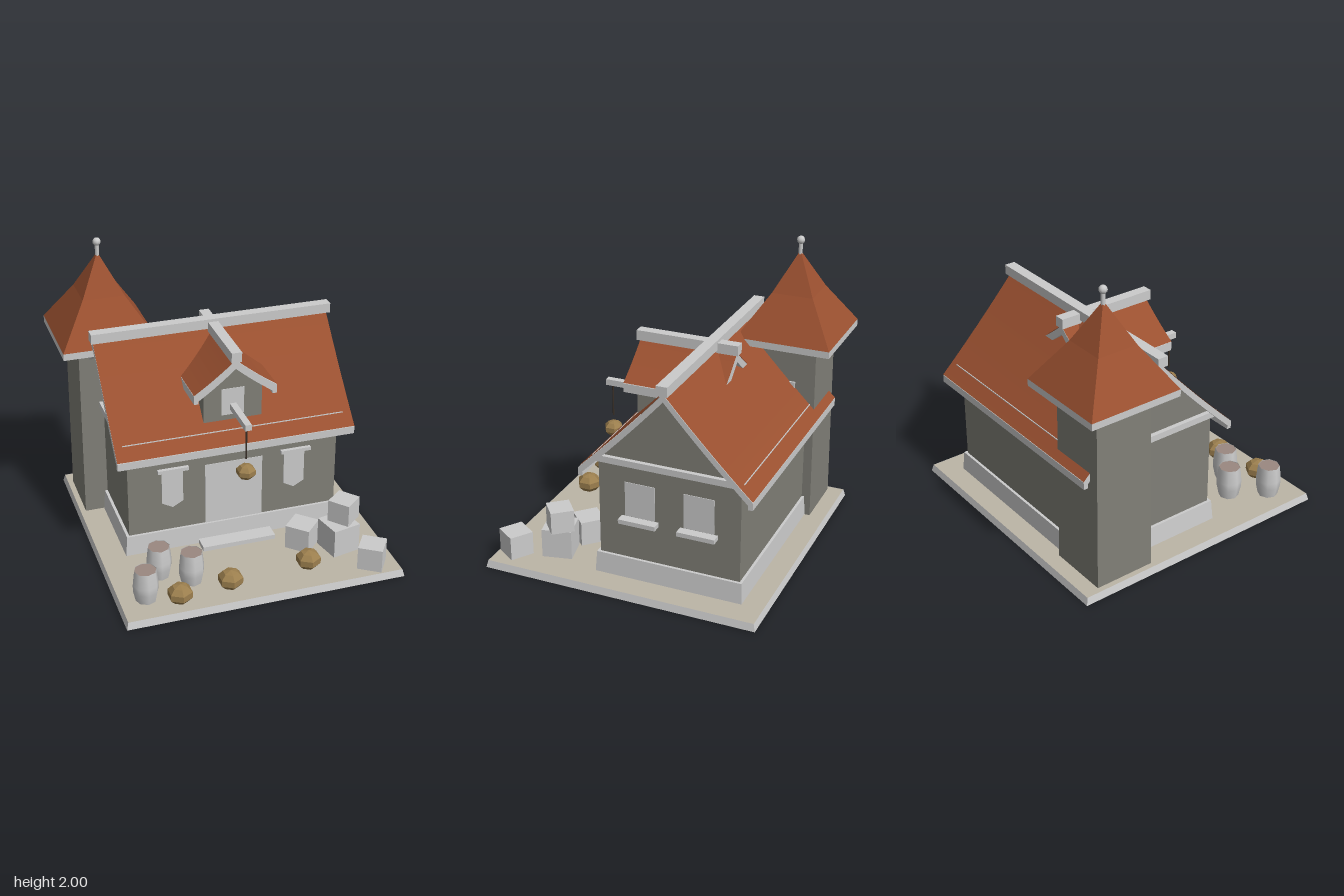
import * as THREE from 'three';

const mat = (color, opts = {}) => new THREE.MeshStandardMaterial({ color, ...opts });
const GREY = mat(0xcccccc);
const GREY_OPEN = mat(0xcccccc, { side: THREE.DoubleSide });
const WALL = mat(0x807f77);
const ROOF = mat(0x9a5030, { side: THREE.DoubleSide });
const SAND = mat(0xbcb5a6, { side: THREE.DoubleSide });
const SACK = mat(0x9c7f4e, { flatShading: true });
const LID = mat(0x9a8880);
const ROPE = mat(0x3a3028);

function add(parent, name, geometry, material, x = 0, y = 0, z = 0) {
  const mesh = new THREE.Mesh(geometry, material);
  mesh.name = name;
  mesh.position.set(x, y, z);
  parent.add(mesh);
  return mesh;
}

// Box given by its limits on each axis
function box(parent, name, material, [x0, x1], [y0, y1], [z0, z1]) {
  return add(parent, name, new THREE.BoxGeometry(x1 - x0, y1 - y0, z1 - z0), material,
    (x0 + x1) / 2, (y0 + y1) / 2, (z0 + z1) / 2);
}

// Flat-sided square frustum standing on y = 0
function frustum(bottomHalf, topHalf, height, open = false) {
  const g = new THREE.CylinderGeometry(topHalf * Math.SQRT2, bottomHalf * Math.SQRT2, height, 4, 1, open)
    .rotateY(Math.PI / 4).translate(0, height / 2, 0).toNonIndexed();
  g.computeVertexNormals();
  return g;
}

function extrude(points, depth) {
  const shape = new THREE.Shape(points.map(([x, y]) => new THREE.Vector2(x, y)));
  return new THREE.ExtrudeGeometry(shape, { depth, bevelEnabled: false }).translate(0, 0, -depth / 2);
}

// Flared gable roof running along z: thin tiled slopes, rake boards at the ends, fascias at the eaves
function gableRoof(name, halfWidth, ridgeY, eaveY, length, flare, fascia) {
  const group = new THREE.Group();
  group.name = name;
  const height = t => ridgeY - (ridgeY - eaveY) * (t + flare * t * (1 - t));
  const steps = [0, 1, 2, 3, 4, 5, 6, 7, 8].map(i => i / 8);
  const right = steps.map(t => [t * halfWidth, height(t)]);
  const left = right.slice(1).reverse().map(([x, y]) => [-x, y]);
  const top = [...left, ...right];
  const under = top.map(([x, y]) => [x, y - fascia]).reverse();
  for (const side of [-1, 1]) {
    add(group, name + 'Rake', extrude([...under, ...top], 0.03), GREY, 0, 0, side * (length / 2 - 0.015));
    add(group, name + 'Fascia', new THREE.BoxGeometry(0.03, fascia, length), GREY,
      side * (halfWidth - 0.015), eaveY - fascia / 2, 0);
    const g = new THREE.PlaneGeometry(1, length, 8, 1).rotateX(-Math.PI / 2).translate(0.5, 0, 0);
    const p = g.attributes.position;
    for (let i = 0; i < p.count; i++) p.setXYZ(i, p.getX(i) * halfWidth, height(p.getX(i)) + 0.004, p.getZ(i));
    g.computeVertexNormals();
    const sheet = add(group, name + 'Tiles', g, ROOF);
    if (side < 0) sheet.rotation.y = Math.PI;
  }
  return group;
}

function buildHouse() {
  const house = new THREE.Group();
  house.name = 'house';
  house.position.set(0.03, 0, -0.28);

  // Walls with gables, plinth, and the beam course under the roof
  const walls = [[-0.48, 0.05], [0.48, 0.05], [0.48, 0.88], [0, 1.38], [-0.48, 0.88]];
  add(house, 'walls', extrude(walls, 1.46).rotateY(Math.PI / 2), WALL);
  const plinth = add(house, 'plinth', frustum(0.506, 0.498, 0.14), GREY, 0, 0.05, 0);
  plinth.scale.x = 1.505;
  box(house, 'beamCourse', GREY, [-0.76, 0.76], [0.852, 0.895], [-0.508, 0.508]);

  // Main roof with ridge cap
  const roof = gableRoof('mainRoof', 0.583, 1.418, 0.813, 1.63, 0.08, 0.052);
  roof.rotation.y = Math.PI / 2;
  house.add(roof);
  box(house, 'ridgeCap', GREY, [-0.83, 0.835], [1.41, 1.477], [-0.037, 0.037]);

  // Door and step
  box(house, 'door', GREY, [-0.2, 0.2], [0.05, 0.64], [0.47, 0.484]);
  box(house, 'step', GREY, [-0.255, 0.255], [0.05, 0.082], [0.47, 0.615]);

  // Hanging banners on the front
  for (const s of [-1, 1]) {
    const cloth = [[-0.073, 0.4], [0, 0.36], [0.073, 0.4], [0.073, 0.66], [-0.073, 0.66]];
    add(house, 'banner', extrude(cloth, 0.006), GREY, s * 0.427, 0, 0.483);
    box(house, 'bannerRod', GREY, [s * 0.427 - 0.105, s * 0.427 + 0.105], [0.648, 0.672], [0.497, 0.523]);
  }

  // Windows and sills on the right-hand gable
  for (const z of [-0.203, 0.197]) {
    box(house, 'window', GREY, [0.72, 0.734], [0.49, 0.73], [z - 0.103, z + 0.103]);
    box(house, 'windowSill', GREY, [0.72, 0.793], [0.457, 0.487], [z - 0.127, z + 0.127]);
  }
  return house;
}

function buildDormer() {
  const dormer = new THREE.Group();
  dormer.name = 'dormer';
  dormer.position.x = 0.03;
  const front = [[-0.2, 0.94], [0.2, 0.94], [0.2, 1.2], [0, 1.36], [-0.2, 1.2]];
  add(dormer, 'dormerWalls', extrude(front, 0.455), WALL, 0, 0, -0.053);
  const roof = gableRoof('dormerRoof', 0.282, 1.395, 1.18, 0.675, 0.15, 0.06);
  roof.position.z = -0.1025;
  dormer.add(roof);
  box(dormer, 'dormerRidge', GREY, [-0.035, 0.035], [1.388, 1.457], [-0.455, 0.253]);
  box(dormer, 'dormerWindow', GREY, [-0.077, 0.077], [0.98, 1.17], [0.16, 0.178]);

  // Hoist with a hanging sack
  box(dormer, 'hoistBeam', GREY, [-0.022, 0.022], [1.018, 1.06], [0.15, 0.49]);
  add(dormer, 'rope', new THREE.CylinderGeometry(0.006, 0.006, 0.23, 6), ROPE, 0, 0.907, 0.45);
  dormer.add(buildSack(0, 0.697, 0.45, 0.068));
  return dormer;
}

function buildTower() {
  const tower = new THREE.Group();
  tower.name = 'tower';
  tower.position.set(-0.653, 0, -0.613);
  add(tower, 'towerWalls', frustum(0.21, 0.2, 1.3), WALL, 0, 0.05, 0);

  // Eaves frame and flared pyramid roof
  for (let i = 0; i < 4; i++) {
    const eave = new THREE.BoxGeometry(0.65, 0.047, 0.03).translate(0, 0, 0.31).rotateY(i * Math.PI / 2);
    add(tower, 'towerEave', eave, GREY, 0, 1.3215, 0);
  }
  add(tower, 'towerRoofLower', frustum(0.325, 0.142, 0.28, true), ROOF, 0, 1.345, 0);
  add(tower, 'towerRoofUpper', frustum(0.142, 0.004, 0.265, true), ROOF, 0, 1.625, 0);

  box(tower, 'towerWindow', GREY, [0.18, 0.215], [0.8, 1.04], [-0.065, 0.065]);
  add(tower, 'finialRod', new THREE.CylinderGeometry(0.014, 0.014, 0.1, 8), GREY, 0, 1.91, 0);
  add(tower, 'finialBall', new THREE.SphereGeometry(0.028, 8, 6), GREY, 0, 1.969, 0);
  return tower;
}

function buildSack(x, y, z, r) {
  const sack = new THREE.Mesh(new THREE.SphereGeometry(r, 6, 5).rotateY(Math.PI / 6), SACK);
  sack.name = 'sack';
  sack.position.set(x, y, z);
  sack.scale.y = 0.78;
  return sack;
}

function buildBarrel(x, z) {
  const barrel = new THREE.Group();
  barrel.name = 'barrel';
  barrel.position.set(x, 0.05, z);
  const profile = [[0.068, 0], [0.083, 0.07], [0.085, 0.12], [0.073, 0.225]];
  add(barrel, 'staves', new THREE.LatheGeometry(profile.map(p => new THREE.Vector2(...p)), 8), GREY_OPEN);
  add(barrel, 'lid', new THREE.CircleGeometry(0.072, 8).rotateX(-Math.PI / 2), LID, 0, 0.222, 0);
  return barrel;
}

export function createModel() {
  const model = new THREE.Group();
  model.name = 'storehouse';

  // Raised ground sheet with a sloping rim, open underneath
  add(model, 'groundRim', frustum(0.942, 0.93, 0.05, true), GREY_OPEN, 0.03, 0, 0);
  add(model, 'groundTop', new THREE.PlaneGeometry(1.86, 1.86).rotateX(-Math.PI / 2), SAND, 0.03, 0.048, 0);

  model.add(buildHouse(), buildDormer(), buildTower());

  // Yard goods
  for (const [x, z] of [[-0.58, 0.5], [-0.73, 0.725], [-0.397, 0.625]]) model.add(buildBarrel(x, z));
  for (const [x, z] of [[-0.528, 0.81], [-0.175, 0.76], [0.382, 0.705]]) model.add(buildSack(x, 0.108, z, 0.087));
  const crates = [
    [0.433, 0.05, 0.45, 0.17, 0.8],
    [0.657, 0.05, 0.55, 0.2, 0.22],
    [0.697, 0.25, 0.525, 0.155, 0.7],
    [0.79, 0.05, 0.81, 0.163, -0.59],
  ];
  for (const [x, y, z, size, turn] of crates) {
    add(model, 'crate', new THREE.BoxGeometry(size, size, size), GREY, x, y + size / 2, z).rotation.y = turn;
  }
  return model;
}
